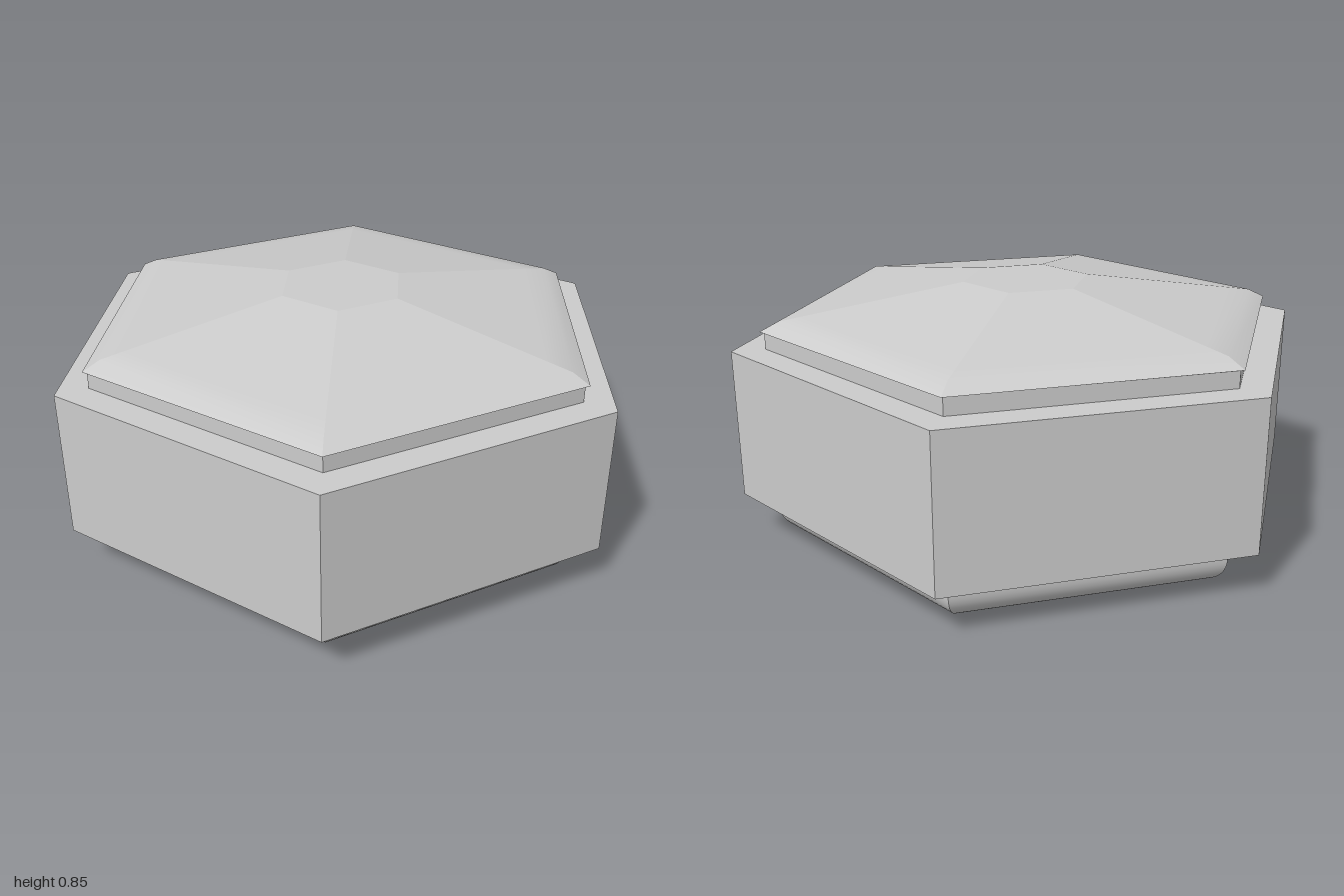
import * as THREE from 'three';
import { mergeGeometries, toCreasedNormals } from 'three/addons/utils/BufferGeometryUtils.js';

const material = new THREE.MeshStandardMaterial({ color: 0xcccccc });

// Sweeps a [radius, height] profile (listed bottom to top) round a hexagon.
// Each side is made on its own, so curves are smooth but corners stay sharp.
function hexPart(name, profile, crease = 0.6) {
  const points = profile.map(([r, y]) => new THREE.Vector2(r, y));
  const sides = [];
  for (let i = 0; i < 6; i++) {
    const side = new THREE.LatheGeometry(points, 1, Math.PI / 6 + i * Math.PI / 3, Math.PI / 3);
    sides.push(toCreasedNormals(side, crease));
  }
  const mesh = new THREE.Mesh(mergeGeometries(sides), material);
  mesh.name = name;
  return mesh;
}

export function createModel() {
  const model = new THREE.Group();
  model.name = 'hexagonalBox';

  // Inner body with a rounded bottom edge
  const R = 0.89, round = 0.1;
  const body = [[0, 0]];
  for (let i = 0; i <= 10; i++) {
    const a = (i / 10) * Math.PI / 2;
    body.push([R - round * 1.1 * (1 - Math.sin(a)), round * (1 - Math.cos(a))]);
  }
  body.push([R, 0.14], [R, 0.725]);
  model.add(hexPart('innerBody', body));

  // Wide sharp-edged band around the body
  model.add(hexPart('outerBand', [
    [0.8, 0.155], [1, 0.155], [1, 0.665], [0.8, 0.665],
  ]));

  // Lid: flat underside, softened rim, shallow sloping facets
  model.add(hexPart('lidSlope', [
    [0, 0.725], [0.905, 0.725], [0.845, 0.755], [0.76, 0.768], [0.22, 0.85],
  ]));
  // Small flat top of the lid
  model.add(hexPart('lidTop', [[0.22, 0.85], [0, 0.85]]));

  return model;
}
